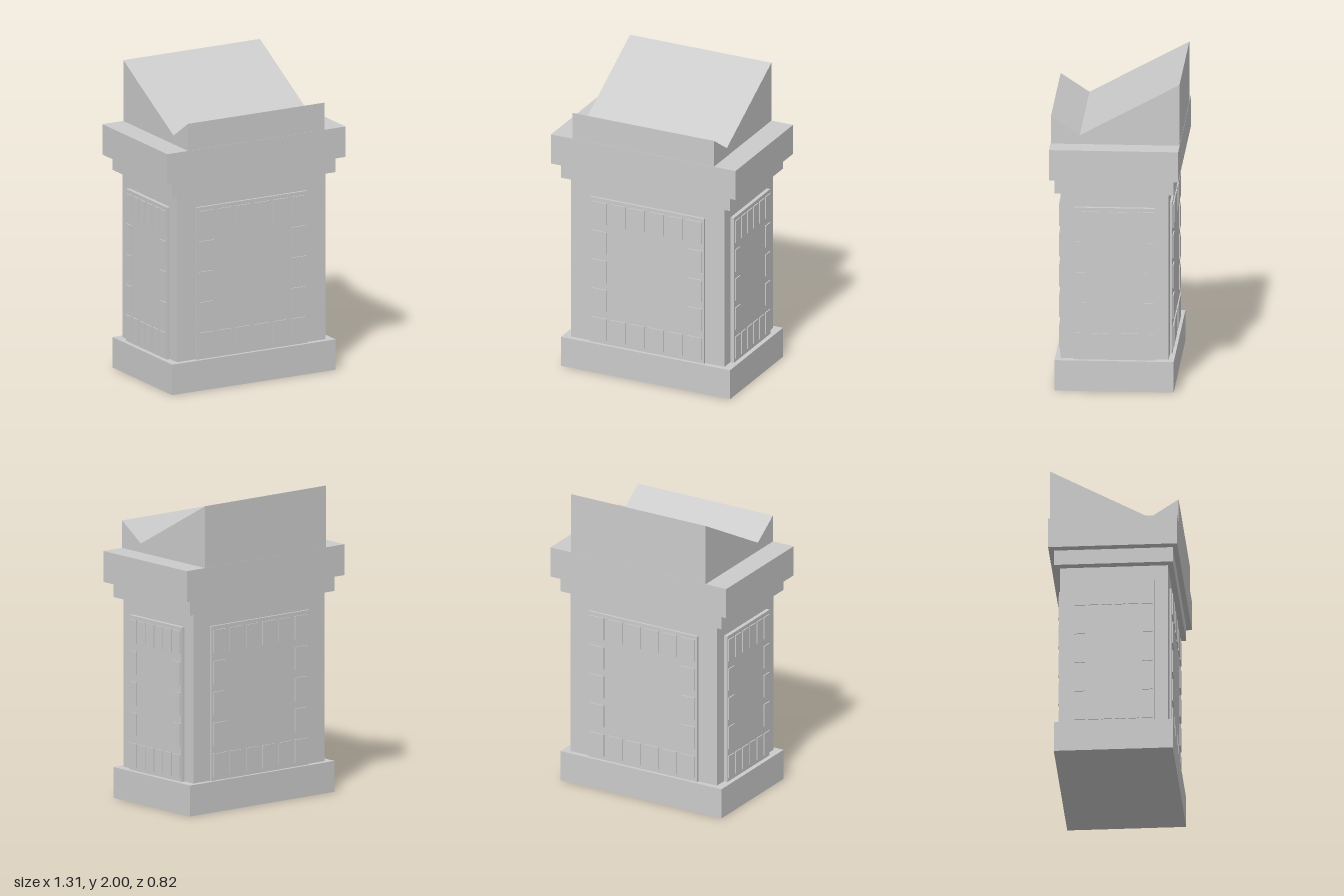
import * as THREE from 'three';

const material = new THREE.MeshStandardMaterial({ color: 0xcccccc, flatShading: true });

function box(parent, name, w, h, d, x, y, z) {
  const mesh = new THREE.Mesh(new THREE.BoxGeometry(w, h, d), material);
  mesh.name = name;
  mesh.position.set(x, y, z);
  parent.add(mesh);
}

// Raised panel facing +z, bordered by a ring of thin rectangular studs
function studdedPanel(name, width, thickness) {
  const group = new THREE.Group();
  group.name = name;
  box(group, 'panel', width, 1, thickness, 0, 0.7, thickness / 2);
  const columns = 6, rows = 5, pitch = width / columns;
  for (let c = 0; c < columns; c++) {
    for (let r = 0; r < rows; r++) {
      const border = c === 0 || c === columns - 1 || r === 0 || r === rows - 1;
      if (!border) continue;
      const x = (c - (columns - 1) / 2) * pitch;
      box(group, 'stud', pitch * 0.78, 0.15, 0.008, x, 0.3 + r * 0.2, thickness + 0.003);
    }
  }
  return group;
}

export function createModel() {
  const model = new THREE.Group();
  model.name = 'pedestal';

  // Stacked plinth, body and mouldings
  box(model, 'base', 1.196, 0.2, 0.756, 0, 0.1, 0);
  box(model, 'body', 1.086, 1.1, 0.686, 0, 0.75, 0);
  box(model, 'neck', 1.196, 0.1, 0.756, 0, 1.35, 0);
  box(model, 'cornice', 1.306, 0.2, 0.82, 0, 1.5, 0);

  // Panels on all four sides
  for (let i = 0; i < 4; i++) {
    const onSide = i % 2 === 1;
    const panel = studdedPanel(
      ['frontPanel', 'leftPanel', 'backPanel', 'rightPanel'][i], onSide ? 0.514 : 0.81, onSide ? 0.025 : 0.014);
    const angle = i * Math.PI / 2;
    const offset = onSide ? 0.543 : 0.343;
    panel.rotation.y = angle;
    panel.position.set(Math.sin(angle) * offset, 0, Math.cos(angle) * offset);
    model.add(panel);
  }

  // Sloped top with a front lip: side profile (-z, y) extruded across x
  const profile = new THREE.Shape([
    [-0.408, 1.6], [0.409, 1.6], [0.409, 2], [-0.225, 1.657], [-0.408, 1.778],
  ].map(([u, v]) => new THREE.Vector2(u, v)));
  const geometry = new THREE.ExtrudeGeometry(profile, { depth: 1, bevelEnabled: false });
  geometry.translate(0, 0, -0.5).rotateY(Math.PI / 2);
  const top = new THREE.Mesh(geometry, material);
  top.name = 'slopedTop';
  model.add(top);

  return model;
}
